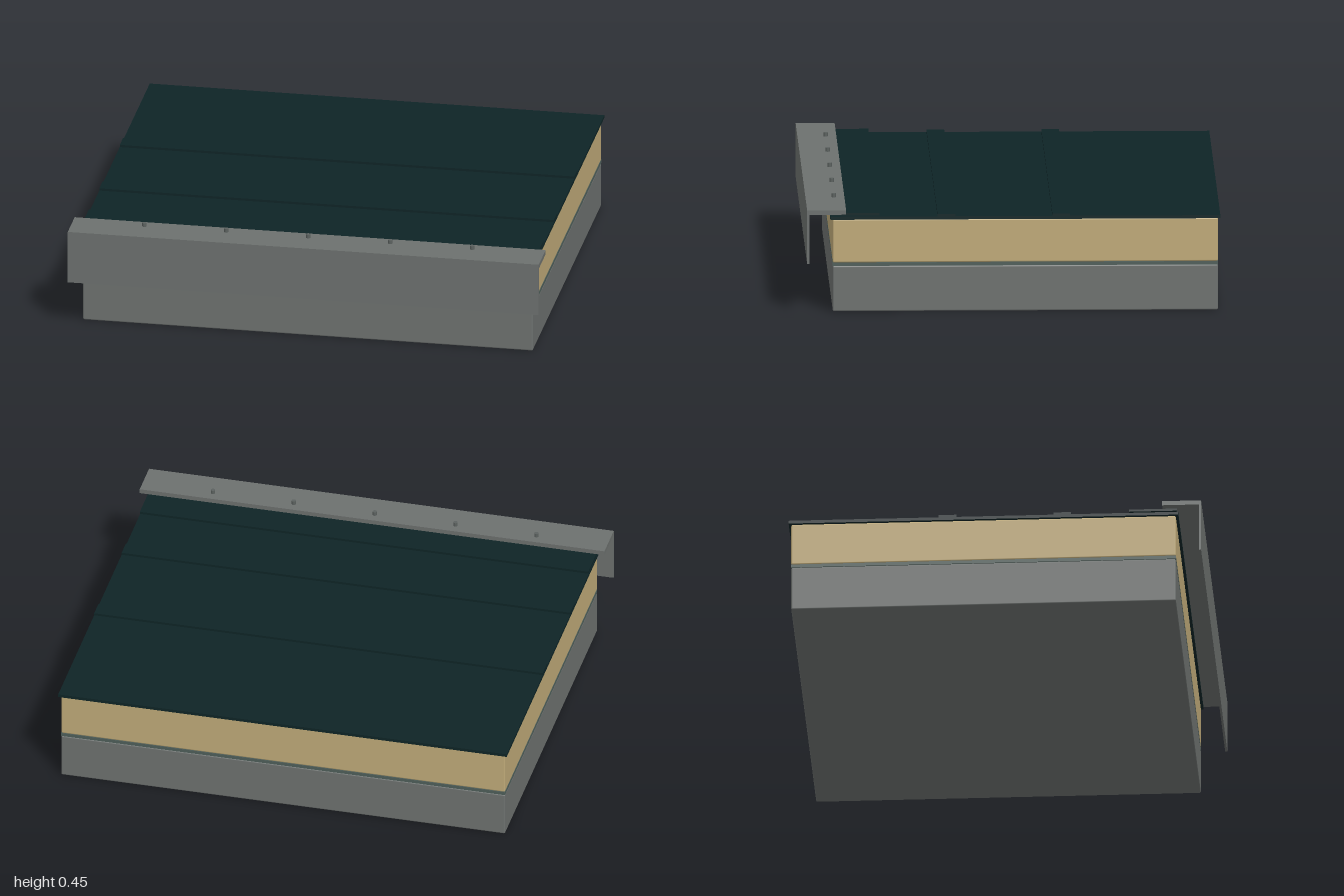
import * as THREE from 'three';
import { RoundedBoxGeometry } from 'three/addons/geometries/RoundedBoxGeometry.js';

const paint = (name, color) => {
  const m = new THREE.MeshStandardMaterial({ color });
  m.name = name;
  return m;
};

export function createModel() {
  const concrete = paint('concrete grey', 0x6d716f);
  const barrier = paint('barrier grey green', 0x4f5f5a);
  const foam = paint('insulation tan', 0xbfaa78);
  const rubber = paint('membrane dark teal', 0x0e2426);
  const metal = paint('flashing grey', 0x6c706e);
  const steel = paint('screw grey', 0x5c6260);

  const model = new THREE.Group();
  model.name = 'roofEdgeSection';

  const add = (name, geometry, material, x, y, z) => {
    const mesh = new THREE.Mesh(geometry, material);
    mesh.name = name;
    mesh.position.set(x, y, z);
    model.add(mesh);
  };

  // Box given by its full width and its y and z ranges, optionally with softened edges
  const layer = (name, material, width, y0, y1, z0, z1, radius = 0) => {
    const size = [width, y1 - y0, z1 - z0];
    const geometry = radius
      ? new RoundedBoxGeometry(...size, 2, radius)
      : new THREE.BoxGeometry(...size);
    add(name, geometry, material, 0, (y0 + y1) / 2, (z0 + z1) / 2);
  };

  // Stacked roof layers
  layer('deckSlab', concrete, 1.91, 0, 0.193, -0.855, 0.755, 0.006);
  layer('vapourBarrier', barrier, 1.91, 0.193, 0.207, -0.855, 0.755);
  layer('insulation', foam, 1.91, 0.207, 0.391, -0.855, 0.755, 0.006);
  layer('membrane', rubber, 1.93, 0.391, 0.404, -0.865, 0.765);

  // Membrane lap seams and the strip below the flashing
  for (const z of [-0.2, 0.28]) {
    layer('lapSeam', rubber, 1.93, 0.404, 0.414, z - 0.037, z + 0.037);
  }
  layer('edgeStrip', rubber, 1.93, 0.409, 0.419, 0.56, 0.76);

  // Angled metal edge flashing
  layer('flashingTop', metal, 2, 0.419, 0.438, 0.7, 0.863);
  layer('flashingFace', metal, 2, 0.21, 0.419, 0.854, 0.863);

  // Row of fixing screws
  const screw = new THREE.CylinderGeometry(0.009, 0.009, 0.025, 12);
  for (let i = -2; i <= 2; i++) {
    add('fixingScrew', screw, steel, i * 0.348, 0.442, 0.745);
  }

  return model;
}
